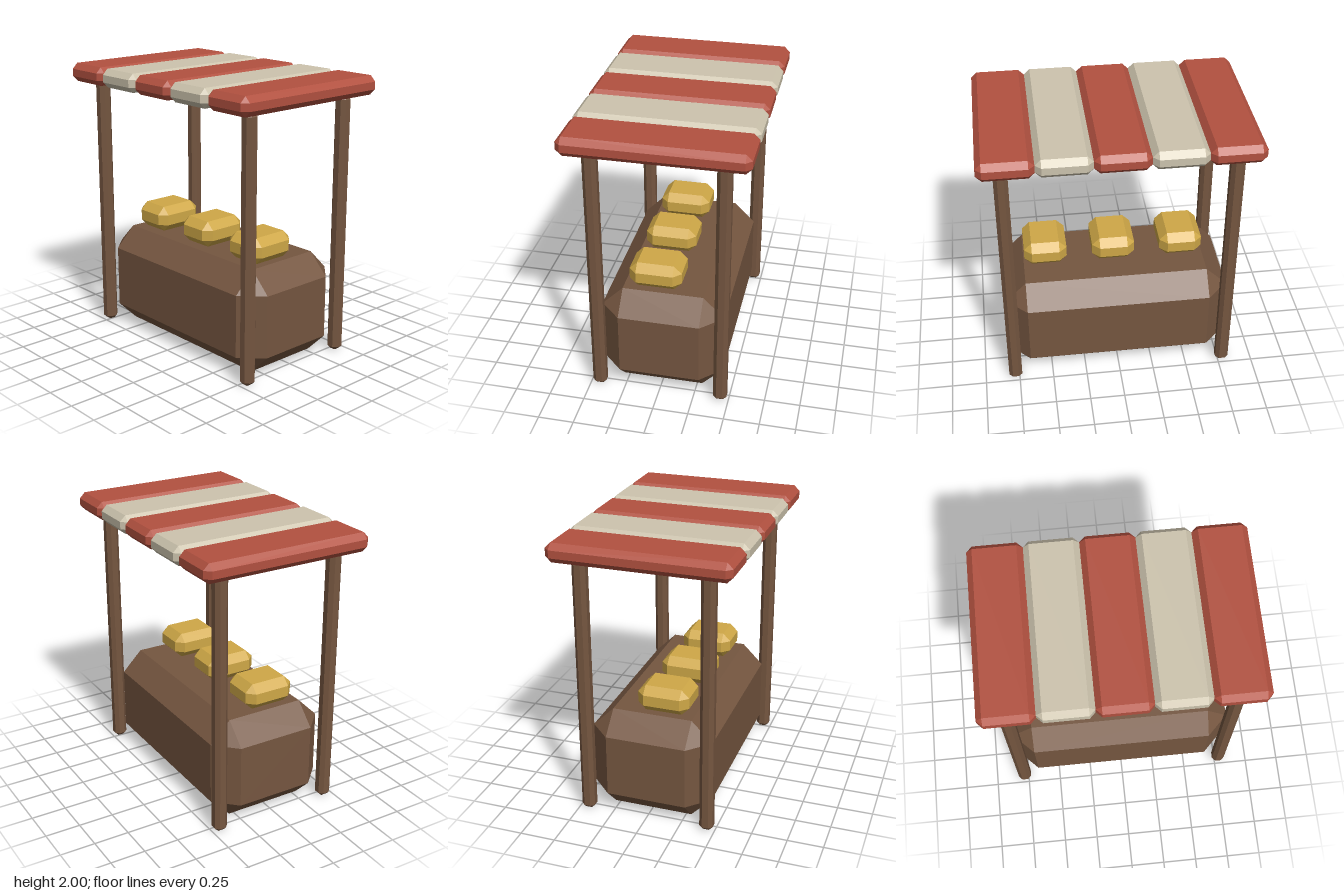
import * as THREE from 'three';
import { ConvexGeometry } from 'three/addons/geometries/ConvexGeometry.js';

const material = (name, color) => {
  const m = new THREE.MeshStandardMaterial({ color, flatShading: true });
  m.name = name;
  return m;
};

// Box with every edge cut by the same chamfer c
function chamferBox(w, h, d, c) {
  const x = w / 2, y = h / 2, z = d / 2, points = [];
  for (const i of [-1, 1]) for (const j of [-1, 1]) for (const k of [-1, 1]) {
    points.push(
      new THREE.Vector3(i * x, j * (y - c), k * (z - c)),
      new THREE.Vector3(i * (x - c), j * y, k * (z - c)),
      new THREE.Vector3(i * (x - c), j * (y - c), k * z)
    );
  }
  return new ConvexGeometry(points);
}

export function createModel() {
  const wood = material('brown wood', 0x755640);
  const red = material('red cloth', 0xb25140);
  const cream = material('cream cloth', 0xcdc4ae);
  const gold = material('golden goods', 0xcfa847);

  const stall = new THREE.Group();
  stall.name = 'marketStall';
  const add = (name, geometry, mat, x, y, z) => {
    const mesh = new THREE.Mesh(geometry, mat);
    mesh.name = name;
    mesh.position.set(x, y, z);
    stall.add(mesh);
  };

  // Counter
  add('counter', chamferBox(1.62, 0.75, 0.87, 0.15), wood, 0, 0.375, 0);

  // Four corner posts
  const post = chamferBox(0.096, 1.867, 0.096, 0.026);
  for (const [side, sx] of [['Left', 1], ['Right', -1]]) {
    for (const [end, sz] of [['front', 1], ['back', -1]]) {
      add(`${end}${side}Post`, post, wood, sx * 0.779, 0.9335, sz * 0.4375);
    }
  }

  // Striped awning
  const slat = chamferBox(0.373, 0.133, 1.244, 0.04);
  for (let i = 0; i < 5; i++) {
    add(`awningStripe${i + 1}`, slat, i % 2 ? cream : red, (i - 2) * 0.373, 1.9335, 0);
  }

  // Goods on the counter
  const loaf = chamferBox(0.311, 0.187, 0.37, 0.055);
  for (let i = 0; i < 3; i++) {
    add(`goods${i + 1}`, loaf, gold, (i - 1) * 0.498, 0.8435, 0.063);
  }

  return stall;
}
